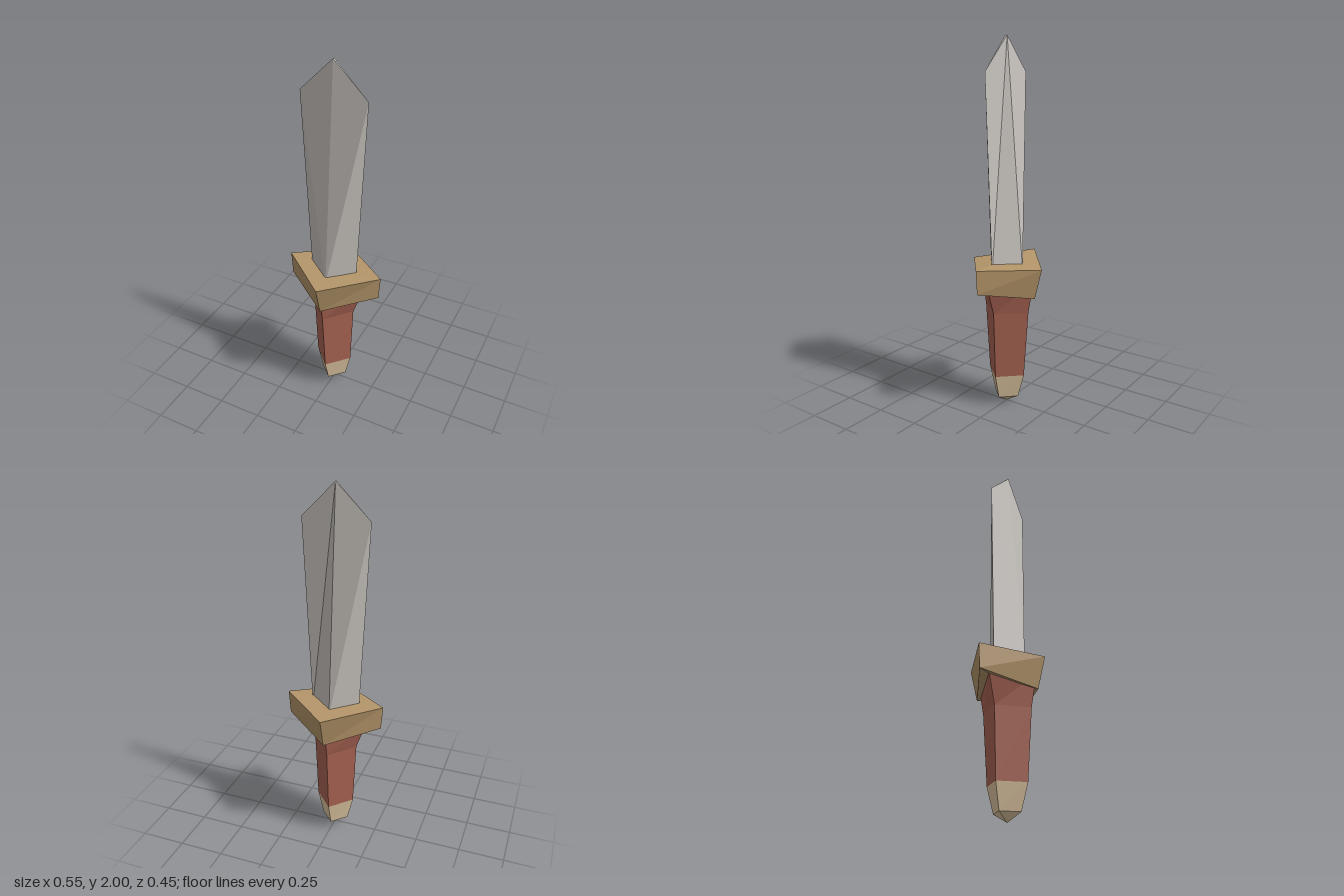
import * as THREE from 'three';

// Diamond cross-section: half width and height of the side corners,
// half depth and height of the front/back corners, centre offset.
function diamond(hx, yx, hz, yz, cx = 0, cz = 0) {
  return [
    [cx + hx, yx, cz], [cx, yz, cz + hz],
    [cx - hx, yx, cz], [cx, yz, cz - hz],
  ];
}

// Skin the cross-sections from bottom to top and close both ends.
// topFold: true creases the top cap from front to back, false from side to side.
// flipped: the side whose diagonal runs the other way.
function loft(name, rings, material, { topFold = false, flipped = -1 } = {}) {
  const pos = [];
  const tri = (...pts) => pts.forEach((p) => pos.push(...p));
  for (let r = 0; r < rings.length - 1; r++) {
    const b = rings[r], t = rings[r + 1];
    for (let i = 0; i < 4; i++) {
      const j = (i + 1) % 4;
      if (i === flipped) {
        tri(b[j], b[i], t[j]);
        tri(b[i], t[i], t[j]);
      } else {
        tri(b[j], b[i], t[i]);
        tri(b[j], t[i], t[j]);
      }
    }
  }
  const t = rings[rings.length - 1], b = rings[0];
  if (topFold) {
    tri(t[0], t[3], t[1]);
    tri(t[3], t[2], t[1]);
  } else {
    tri(t[0], t[3], t[2]);
    tri(t[0], t[2], t[1]);
  }
  tri(b[0], b[2], b[3]);
  tri(b[0], b[1], b[2]);

  const geometry = new THREE.BufferGeometry();
  geometry.setAttribute('position', new THREE.Float32BufferAttribute(pos, 3));
  geometry.computeVertexNormals();
  const mesh = new THREE.Mesh(geometry, material);
  mesh.name = name;
  return mesh;
}

function paint(name, color) {
  const material = new THREE.MeshStandardMaterial({ color, flatShading: true });
  material.name = name;
  return material;
}

export function createModel() {
  const steel = paint('steel', 0xc8c3be);
  const bronze = paint('bronze', 0xb5966a);
  const leather = paint('leather', 0xa86352);
  const bone = paint('bone', 0xe0c8a3);

  const group = new THREE.Group();
  group.name = 'dagger';

  // Blade: widens to the shoulders and thins to a narrow ridge at the tip
  group.add(loft('blade', [
    diamond(0.134, 0.78, 0.104, 0.78, -0.003, 0.003),
    diamond(0.181, 1.82, 0.006, 2.0, -0.003, 0.006),
  ], steel, { topFold: true, flipped: 1 }));

  // Guard: diamond block with a drooping front and back
  group.add(loft('guard', [
    diamond(0.266, 0.70, 0.182, 0.64),
    diamond(0.275, 0.83, 0.224, 0.807),
  ], bronze));

  // Grip: flares into the guard
  group.add(loft('grip', [
    diamond(0.108, 0.18, 0.116, 0.18, -0.003, 0.003),
    diamond(0.123, 0.55, 0.142, 0.55, -0.004, 0.003),
    diamond(0.182, 0.72, 0.172, 0.72, -0.004, 0.003),
  ], leather));

  // Pommel: tapers down to a blunt point
  group.add(loft('pommel', [
    diamond(0, 0, 0, 0, -0.003, 0.003),
    diamond(0.076, 0.045, 0.078, 0.045, -0.003, 0.003),
    diamond(0.108, 0.18, 0.116, 0.18, -0.003, 0.003),
  ], bone));

  return group;
}
